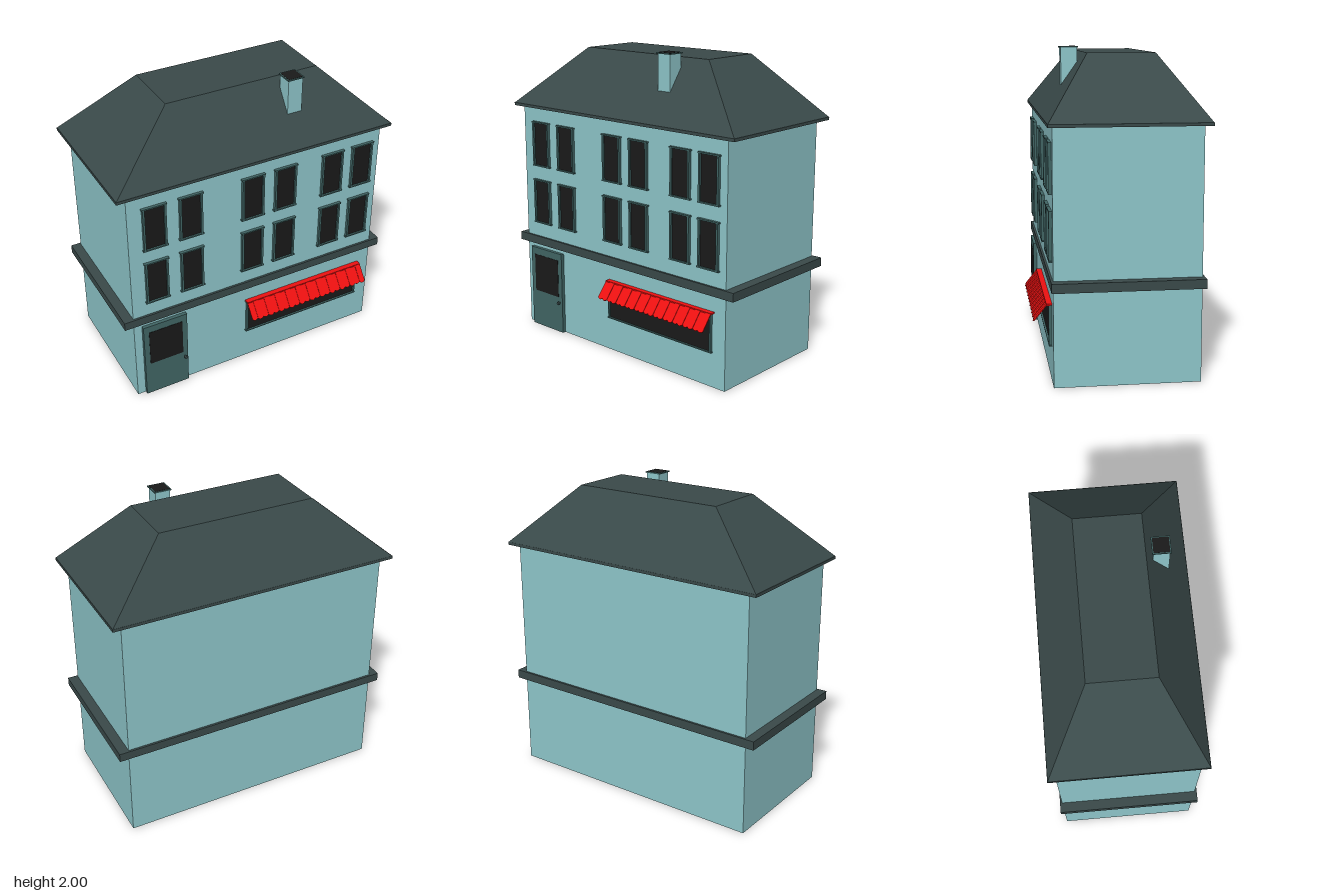
import * as THREE from 'three';

const mat = (color, side = THREE.FrontSide) => new THREE.MeshStandardMaterial({ color, side });
const WALL = mat(0x8fc7cb, THREE.DoubleSide);
const TRIM = mat(0x416665);
const SLATE = mat(0x3a4a4a);
const GLASS = mat(0x1a1a1a);
const RED = mat(0xee1111);
const FRONT = 0.41; // z of the front wall

// Box given by its limits on each axis
function box(name, material, [x0, x1], [y0, y1], [z0, z1]) {
  const mesh = new THREE.Mesh(new THREE.BoxGeometry(x1 - x0, y1 - y0, z1 - z0), material);
  mesh.position.set((x0 + x1) / 2, (y0 + y1) / 2, (z0 + z1) / 2);
  mesh.name = name;
  return mesh;
}

// Rectangular frame with a dark pane and projecting sill and lintel
function framedWindow(name, [x0, x1], [y0, y1], t, lip) {
  const g = new THREE.Group();
  g.name = name;
  const depth = [FRONT - 0.006, FRONT + 0.02];
  g.add(
    box('pane', GLASS, [x0 + t / 2, x1 - t / 2], [y0 + t / 2, y1 - t / 2], [FRONT + 0.001, FRONT + 0.008]),
    box('frameLeft', TRIM, [x1 - t, x1], [y0, y1], depth),
    box('frameRight', TRIM, [x0, x0 + t], [y0, y1], depth),
    box('sill', TRIM, [x0 - lip, x1 + lip], [y0, y0 + t * 0.7], depth),
    box('lintel', TRIM, [x0 - lip, x1 + lip], [y1 - t * 0.7, y1], depth)
  );
  return g;
}

// Hipped roof: a box whose top face is drawn in to a smaller rectangle
function hippedRoof() {
  const geo = new THREE.BoxGeometry(1, 1, 1).toNonIndexed();
  const p = geo.attributes.position;
  for (let i = 0; i < p.count; i++) {
    const top = p.getY(i) > 0, left = p.getX(i) > 0, front = p.getZ(i) > 0;
    if (top) p.setXYZ(i, left ? 0.535 : -0.505, 1.965, front ? 0.165 : -0.253);
    else p.setXYZ(i, left ? 0.955 : -0.96, 1.575, front ? 0.44 : -0.523);
  }
  geo.computeVertexNormals();
  const mesh = new THREE.Mesh(geo, SLATE);
  mesh.name = 'roof';
  return mesh;
}

// Sloping awning of narrow strips with rounded lower ends
function awning() {
  const g = new THREE.Group();
  g.name = 'awning';
  const x0 = -0.09, x1 = 0.803, count = 22, w = (x1 - x0) / count;
  const rise = 0.1, run = 0.08, length = Math.hypot(rise, run);
  const shape = new THREE.Shape();
  shape.moveTo(w / 2, 0);
  shape.lineTo(-w / 2, 0);
  shape.lineTo(-w / 2, -length + 0.008);
  shape.quadraticCurveTo(0, -length - 0.012, w / 2, -length + 0.008);
  const geo = new THREE.ExtrudeGeometry(shape, { depth: 0.006, bevelEnabled: false, curveSegments: 5 });
  for (let i = 0; i < count; i++) {
    const strip = new THREE.Mesh(geo, RED);
    strip.name = 'awningStrip';
    strip.position.set(x0 + w * (i + 0.5), 0.488, 0.435 + (i % 2) * 0.004);
    strip.rotation.x = -Math.atan2(run, rise);
    g.add(strip);
  }
  g.add(box('awningTop', RED, [x0, x1], [0.483, 0.493], [FRONT - 0.005, 0.445]));
  return g;
}

function door() {
  const g = new THREE.Group();
  g.name = 'door';
  const z = 0.434;
  g.add(
    box('doorPanel', TRIM, [-0.838, -0.532], [0, 0.57], [FRONT - 0.004, z]),
    box('doorGlass', GLASS, [-0.802, -0.567], [0.255, 0.52], [z - 0.004, z + 0.002])
  );
  const stem = new THREE.Mesh(new THREE.CylinderGeometry(0.006, 0.006, 0.016, 12), SLATE);
  stem.rotation.x = Math.PI / 2;
  stem.position.set(-0.555, 0.217, z + 0.007);
  stem.name = 'knobStem';
  const knob = new THREE.Mesh(new THREE.CylinderGeometry(0.011, 0.011, 0.01, 16), SLATE);
  knob.rotation.x = Math.PI / 2;
  knob.position.set(-0.555, 0.217, z + 0.017);
  knob.name = 'knob';
  g.add(stem, knob);
  return g;
}

function chimney() {
  const g = new THREE.Group();
  g.name = 'chimney';
  g.add(
    box('chimneyStack', WALL, [0.25, 0.35], [1.7, 1.993], [0.207, 0.307]),
    box('chimneyCap', TRIM, [0.243, 0.357], [1.991, 1.999], [0.2, 0.314]),
    box('chimneyOpening', GLASS, [0.25, 0.35], [1.995, 2.0], [0.207, 0.307])
  );
  return g;
}

export function createModel() {
  const house = new THREE.Group();
  house.name = 'townHouse';

  // Hollow walls, open at the bottom (the -y face is dropped)
  const walls = box('walls', WALL, [-0.893, 0.89], [0, 1.565], [-0.483, FRONT]);
  const index = Array.from(walls.geometry.index.array);
  index.splice(18, 6);
  walls.geometry.setIndex(index);
  walls.geometry.clearGroups();
  house.add(walls);

  // Floor band, eaves and roof
  house.add(
    box('floorBand', SLATE, [-0.957, 0.955], [0.595, 0.652], [-0.497, 0.424]),
    box('eaves', SLATE, [-0.96, 0.955], [1.558, 1.577], [-0.523, 0.44]),
    hippedRoof(),
    chimney()
  );

  // Two floors of paired windows
  const columns = [-0.72, -0.478, -0.048, 0.185, 0.532, 0.757];
  for (const y of [0.753, 1.156])
    for (const x of columns)
      house.add(framedWindow('window', [x - 0.077, x + 0.077], [y, y + 0.308], 0.013, 0.006));

  // Ground floor
  house.add(framedWindow('shopWindow', [-0.085, 0.788], [0.228, 0.485], 0.01, 0.006), awning(), door());
  return house;
}
